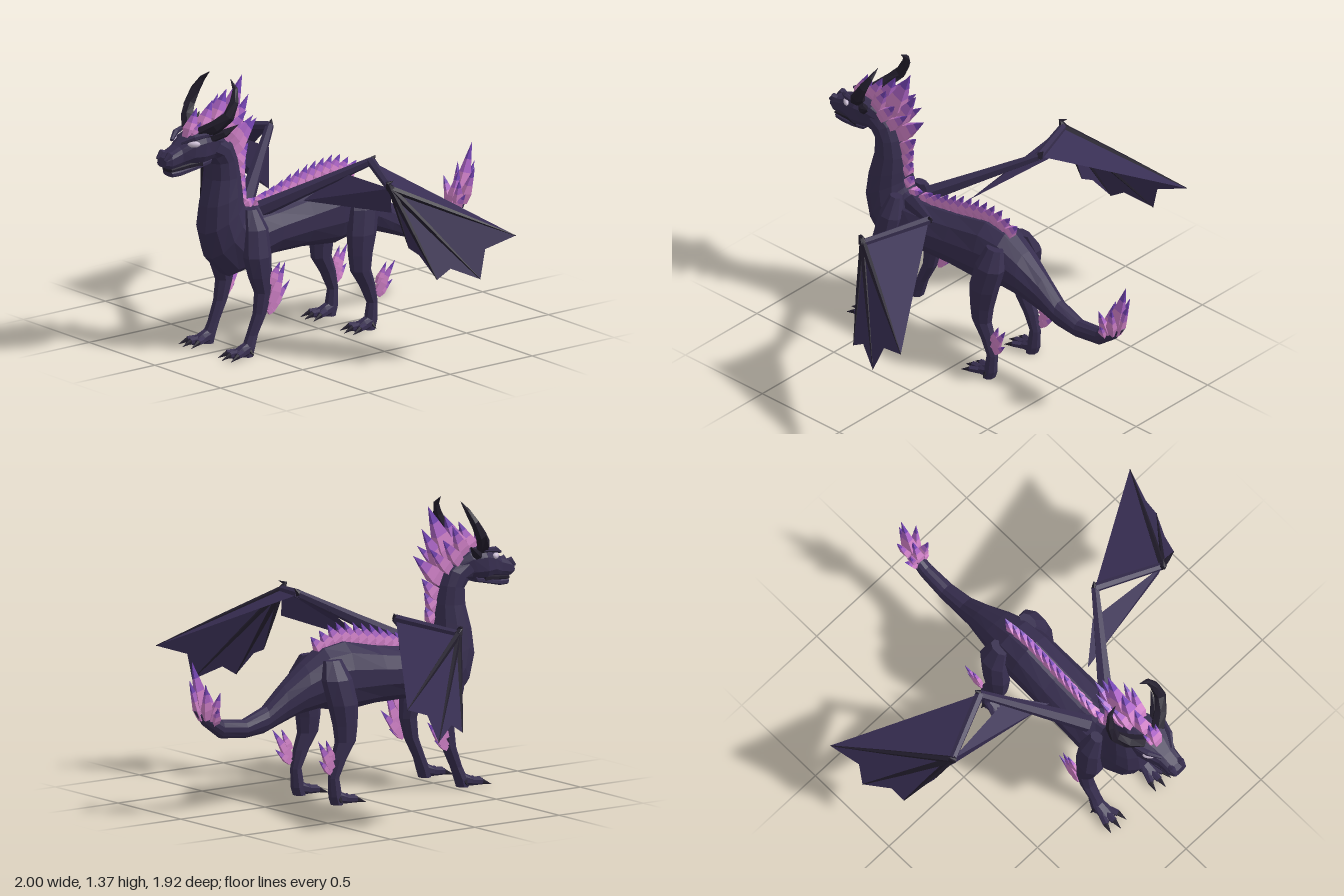
import * as THREE from 'three';
import { mergeGeometries } from 'three/addons/utils/BufferGeometryUtils.js';

const V = (x, y, z) => new THREE.Vector3(x, y, z);
const mat = (name, color, side = THREE.FrontSide) => {
  const m = new THREE.MeshStandardMaterial({ color, side });
  m.name = name;
  return m;
};

// Faceted geometry from a list of triangle corners
function facets(pts) {
  const g = new THREE.BufferGeometry().setFromPoints(pts);
  g.computeVertexNormals();
  return g;
}

// Closed skin over cross-section rings, turned to face outward
function loft(rings) {
  const tris = [], n = rings[0].length;
  for (let i = 0; i < rings.length - 1; i++)
    for (let j = 0; j < n; j++) {
      const k = (j + 1) % n, a = rings[i], b = rings[i + 1];
      tris.push([a[j], a[k], b[k]], [a[j], b[k], b[j]]);
    }
  const cap = (r, flip) => {
    const c = V(0, 0, 0);
    r.forEach(p => c.addScaledVector(p, 1 / n));
    r.forEach((p, j) => tris.push(flip ? [c, r[(j + 1) % n], p] : [c, p, r[(j + 1) % n]]));
  };
  cap(rings[0], true);
  cap(rings.at(-1), false);
  let vol = 0;
  for (const [a, b, c] of tris) vol += a.dot(b.clone().cross(c));
  return facets(tris.flatMap(t => (vol < 0 ? [t[0], t[2], t[1]] : t)));
}

// Ring around c with half axes u and v; power below 1 makes it boxier
function ring(c, u, v, n = 12, power = 1) {
  const sp = t => Math.sign(t) * Math.abs(t) ** power;
  return Array.from({ length: n }, (_, i) => {
    const a = (i + 0.5) / n * Math.PI * 2;
    return c.clone().addScaledVector(u, sp(Math.cos(a))).addScaledVector(v, sp(Math.sin(a)));
  });
}

// Rings given by top point, bottom point and half width: [zTop, yTop, zBottom, yBottom, w]
const profile = (rows, power) => loft(rows.map(([zt, yt, zb, yb, w]) =>
  ring(V(0, (yt + yb) / 2, (zt + zb) / 2), V(w, 0, 0), V(0, (yt - yb) / 2, (zt - zb) / 2), 12, power)));

// Tapered tube along a path
function taper(path, radii, n = 6) {
  const dir = path.at(-1).clone().sub(path[0]).normalize();
  const ref = Math.abs(dir.y) > 0.7 ? V(0, 0, 1) : V(0, 1, 0);
  return loft(path.map((p, i) => {
    const t = path[Math.min(i + 1, path.length - 1)].clone().sub(path[Math.max(i - 1, 0)]).normalize();
    const u = ref.clone().cross(t).normalize(), v = t.clone().cross(u);
    return ring(p, u.multiplyScalar(radii[i]), v.multiplyScalar(radii[i]), n);
  }));
}

// Crystal spike in three colour bands; returns one geometry per band
function spike(base, tip, width, thick = width * 0.6) {
  const d = tip.clone().sub(base), t = d.clone().normalize();
  const u = V(1, 0, 0).addScaledVector(t, -t.x).normalize(), v = t.clone().cross(u);
  const at = (f, s) => ring(base.clone().addScaledVector(d, f), u.clone().multiplyScalar(thick * s),
    v.clone().multiplyScalar(width * s), 4);
  const r = [at(0, 0.9), at(0.28, 1.2), at(0.5, 0.85), at(0.72, 0.5), at(1, 0.01)];
  return [loft(r.slice(0, 3)), loft(r.slice(2, 4)), loft(r.slice(3))];
}

const TORSO = [
  [-0.91, 0.52, -0.92, 0.51, 0.01], [-0.84, 0.50, -0.87, 0.44, 0.03], [-0.76, 0.455, -0.77, 0.365, 0.036],
  [-0.63, 0.44, -0.63, 0.35, 0.042], [-0.5, 0.49, -0.52, 0.36, 0.05], [-0.4, 0.58, -0.42, 0.395, 0.065],
  [-0.28, 0.67, -0.32, 0.43, 0.095], [-0.17, 0.74, -0.2, 0.445, 0.12], [-0.05, 0.76, -0.07, 0.415, 0.13],
  [0.13, 0.72, 0.13, 0.435, 0.135], [0.32, 0.69, 0.33, 0.435, 0.14], [0.42, 0.69, 0.47, 0.385, 0.14],
  [0.47, 0.70, 0.575, 0.365, 0.13], [0.48, 0.72, 0.68, 0.47, 0.12], [0.485, 0.75, 0.72, 0.60, 0.11],
  [0.49, 0.80, 0.705, 0.73, 0.1], [0.50, 0.87, 0.67, 0.86, 0.085], [0.52, 0.96, 0.665, 0.94, 0.08],
  [0.55, 1.04, 0.69, 0.965, 0.08], [0.62, 1.10, 0.73, 0.97, 0.08]];

export function createModel() {
  const model = new THREE.Group();
  model.name = 'dragon';
  const hide = mat('hide', 0x372e4f), horn = mat('horn', 0x221d2c), eyeMat = mat('eye', 0xcdbfd6);
  const membrane = mat('membrane', 0x382e53, THREE.DoubleSide);
  const bands = [mat('crystalPink', 0xcf80c6), mat('crystalOrchid', 0xae66c8), mat('crystalViolet', 0x7444b4)];
  const add = (name, geo, m, parent = model) => {
    const mesh = new THREE.Mesh(geo, m);
    mesh.name = name;
    parent.add(mesh);
    return mesh;
  };
  const group = name => {
    const g = new THREE.Group();
    g.name = name;
    model.add(g);
    return g;
  };
  const crystals = (name, list) => {
    const g = group(name), parts = list.map(a => spike(...a));
    bands.forEach((m, i) => add(m.name, mergeGeometries(parts.map(p => p[i])), m, g));
  };

  // Body, head and jaw
  add('bodyNeckTail', profile(TORSO), hide);
  add('head', profile([[0.58, 1.07, 0.66, 0.98, 0.06], [0.66, 1.12, 0.73, 0.965, 0.085], [0.75, 1.125, 0.77, 0.965, 0.097],
    [0.81, 1.105, 0.82, 0.975, 0.083], [0.87, 1.065, 0.87, 0.965, 0.055], [0.93, 1.04, 0.93, 0.96, 0.05],
    [0.955, 1.02, 0.96, 0.975, 0.035]], 0.65), hide);
  add('mouth', profile([[0.76, 0.99, 0.76, 0.95, 0.07], [0.83, 0.98, 0.83, 0.95, 0.05], [0.925, 0.965, 0.925, 0.945, 0.038]], 0.6), horn);
  add('jaw', profile([[0.7, 0.99, 0.72, 0.955, 0.07], [0.78, 0.97, 0.79, 0.94, 0.065], [0.87, 0.953, 0.875, 0.92, 0.045],
    [0.925, 0.95, 0.915, 0.92, 0.038]], 0.6), hide);

  for (const s of [1, -1]) {
    const side = s > 0 ? 'left' : 'right';
    const P = (x, y, z) => V(s * x, y, z);

    // Face details
    const eye = add(side + 'Eye', new THREE.SphereGeometry(1, 8, 6), eyeMat);
    eye.position.set(s * 0.071, 1.077, 0.818);
    eye.lookAt(s * 0.75, 1.3, 1.4);
    eye.scale.set(0.031, 0.016, 0.014);
    add(side + 'Brow', taper([P(0.035, 1.085, 0.87), P(0.072, 1.108, 0.815), P(0.1, 1.12, 0.73)], [0.008, 0.015, 0.01]), hide);
    add(side + 'Nostril', taper([P(0.025, 1.03, 0.9), P(0.03, 1.035, 0.935), P(0.028, 1.01, 0.962)], [0.01, 0.018, 0.008]), hide);
    add(side + 'Horn', taper([P(0.05, 1.115, 0.755), P(0.11, 1.155, 0.715), P(0.15, 1.205, 0.67), P(0.148, 1.27, 0.635),
      P(0.125, 1.325, 0.61), P(0.08, 1.365, 0.603)], [0.034, 0.033, 0.029, 0.023, 0.014, 0.001]), horn);
    add(side + 'EarHorn', taper([P(0.07, 1.09, 0.71), P(0.115, 1.115, 0.665), P(0.148, 1.155, 0.61)], [0.024, 0.02, 0.001]), horn);

    // Legs: [y, z, x, rx, rz]
    const legs = {
      FrontLeg: [[0.7, 0.48, 0.085, 0.025, 0.035], [0.61, 0.48, 0.12, 0.05, 0.065], [0.48, 0.49, 0.143, 0.057, 0.075],
        [0.38, 0.475, 0.145, 0.05, 0.062], [0.3, 0.46, 0.148, 0.04, 0.045], [0.2, 0.48, 0.15, 0.035, 0.036],
        [0.1, 0.525, 0.147, 0.03, 0.03], [0.04, 0.55, 0.15, 0.035, 0.034], [0, 0.56, 0.15, 0.035, 0.03]],
      HindLeg: [[0.69, -0.17, 0.095, 0.03, 0.05], [0.6, -0.17, 0.13, 0.055, 0.082], [0.48, -0.145, 0.145, 0.058, 0.08],
        [0.38, -0.135, 0.148, 0.05, 0.065], [0.3, -0.135, 0.15, 0.042, 0.055], [0.22, -0.175, 0.15, 0.034, 0.042],
        [0.13, -0.205, 0.15, 0.028, 0.028], [0.04, -0.195, 0.15, 0.034, 0.034], [0, -0.185, 0.15, 0.035, 0.03]]
    };
    for (const [name, rows] of Object.entries(legs)) {
      const g = group(side + name), z = rows.at(-1)[1];
      add('leg', loft(rows.map(([y, cz, x, rx, rz]) => ring(V(s * x, y, cz), V(rx, 0, 0), V(0, 0, rz), 8))), hide, g);
      add('foot', loft([[-0.02, 0.04, 0.032], [0.04, 0.026, 0.038], [0.085, 0.012, 0.04]].map(([dz, h, w]) =>
        ring(P(0.15, h, z + dz), V(w, 0, 0), V(0, h, 0), 8))), hide, g);
      for (const dx of [-0.04, 0, 0.04]) {
        const reach = dx ? 0 : 0.015;
        add('toe', taper([P(0.15 + dx * 0.5, 0.024, z + 0.04), P(0.15 + dx, 0.022, z + 0.09 + reach)], [0.018, 0.016]), hide, g);
        add('claw', taper([P(0.15 + dx, 0.022, z + 0.085 + reach), P(0.15 + dx * 1.25, 0.004, z + 0.135 + reach)], [0.014, 0.001]), horn, g);
      }
      add('heelClaw', taper([P(0.165, 0.04, z), P(0.2, 0.01, z - 0.005)], [0.016, 0.001]), horn, g);
    }

    // Crystal fins on the legs
    crystals(side + 'FrontLegFin', [
      [P(0.18, 0.25, 0.435), P(0.188, 0.44, 0.355), 0.034, 0.012], [P(0.175, 0.21, 0.445), P(0.186, 0.345, 0.325), 0.028, 0.012],
      [P(0.18, 0.34, 0.44), P(0.186, 0.445, 0.385), 0.028, 0.012], [P(0.175, 0.2, 0.45), P(0.18, 0.25, 0.37), 0.018, 0.01]]);
    crystals(side + 'HindLegFin', [
      [P(0.165, 0.18, -0.225), P(0.182, 0.325, -0.32), 0.026, 0.012], [P(0.16, 0.16, -0.23), P(0.175, 0.23, -0.31), 0.02, 0.012],
      [P(0.168, 0.22, -0.225), P(0.178, 0.325, -0.27), 0.02, 0.012]]);

    // Wing bones and membranes
    const w = group(side + 'Wing');
    const root = P(0.06, 0.68, 0.4), elbow = P(0.385, 0.915, -0.01), wrist = P(0.7, 0.875, 0.125);
    const tips = [P(1, 0.615, -0.4), P(0.98, 0.43, -0.2), P(0.9, 0.445, 0), P(0.76, 0.58, 0.06)];
    add('upperArm', taper([root, root.clone().lerp(elbow, 0.5), elbow], [0.042, 0.03, 0.02]), hide, w);
    add('forearm', taper([elbow, wrist], [0.023, 0.019]), hide, w);
    add('elbowSpur', taper([elbow, P(0.395, 0.945, -0.03)], [0.02, 0.001]), horn, w);
    add('wristClaw', taper([wrist, P(0.7, 0.905, 0.14), P(0.715, 0.915, 0.115)], [0.022, 0.012, 0.001]), horn, w);
    tips.forEach((t, i) => add('finger', taper([wrist, wrist.clone().lerp(t, 0.5), t],
      i < 3 ? [0.017, 0.012, 0.002] : [0.012, 0.008, 0.001], 5), horn, w));
    const sheet = [elbow, wrist, tips[0]];
    for (let i = 0; i < 3; i++) {
      const dip = tips[i].clone().lerp(tips[i + 1], 0.5).lerp(wrist, 0.12);
      sheet.push(wrist, tips[i], dip, wrist, dip, tips[i + 1]);
    }
    const inner = P(0.13, 0.70, 0.2), mid = P(0.28, 0.85, 0.08), drop = P(0.69, 0.75, 0.11);
    sheet.push(inner, mid, wrist, inner, wrist, drop);
    add('wingMembrane', facets(sheet), membrane, w);
  }

  // Crown and neck crest
  const crown = [
    [V(0, 1.09, 0.8), V(0, 1.23, 0.745), 0.032, 0.03], [V(0, 1.1, 0.73), V(0, 1.25, 0.65), 0.035, 0.035],
    [V(0, 1.1, 0.66), V(0, 1.29, 0.565), 0.045, 0.045], [V(0, 1.06, 0.6), V(0, 1.345, 0.468), 0.055, 0.04],
    [V(0, 1.02, 0.57), V(0, 1.24, 0.43), 0.045, 0.03], [V(0, 0.97, 0.55), V(0, 1.115, 0.38), 0.045, 0.03],
    [V(0, 0.9, 0.52), V(0, 1.0, 0.43), 0.036, 0.026], [V(0, 0.84, 0.51), V(0, 0.93, 0.445), 0.032, 0.026],
    [V(0, 0.78, 0.5), V(0, 0.86, 0.45), 0.03, 0.026], [V(0, 0.72, 0.49), V(0, 0.785, 0.445), 0.028, 0.026],
    [V(0, 0.69, 0.46), V(0, 0.72, 0.385), 0.025, 0.026]];
  for (const s of [1, -1]) crown.push(
    [V(s * 0.035, 1.09, 0.66), V(s * 0.07, 1.25, 0.56), 0.036, 0.025],
    [V(s * 0.045, 1.06, 0.62), V(s * 0.075, 1.19, 0.5), 0.036, 0.022],
    [V(s * 0.03, 1.02, 0.58), V(s * 0.05, 1.15, 0.44), 0.034, 0.022],
    [V(s * 0.02, 1.09, 0.79), V(s * 0.04, 1.17, 0.75), 0.022, 0.016]);
  crystals('headAndNeckCrest', crown);

  // Back crest following the spine
  const spine = TORSO.slice(5, 12);
  const backHeight = z => {
    const i = Math.max(1, spine.findIndex(r => r[0] >= z)), a = spine[i - 1], b = spine[i];
    return a[1] + (b[1] - a[1]) * (z - a[0]) / (b[0] - a[0]);
  };
  crystals('backCrest', Array.from({ length: 12 }, (_, i) => {
    const z = 0.39 - i * 0.05, y = backHeight(z), h = 0.035 + 0.075 * Math.sin(Math.PI * Math.min(1, (i + 1) / 13));
    return [V(0, y - 0.02, z), V(0, y + h, z - 0.07), 0.032, 0.024];
  }));

  // Tail flame
  const tail = [
    [V(0, 0.47, -0.85), V(0, 0.755, -0.935), 0.04, 0.025], [V(0, 0.47, -0.87), V(0, 0.66, -0.95), 0.03, 0.022],
    [V(0, 0.46, -0.82), V(0, 0.63, -0.855), 0.035, 0.025]];
  for (const s of [1, -1]) tail.push(
    [V(s * 0.02, 0.46, -0.83), V(s * 0.06, 0.6, -0.81), 0.028, 0.018],
    [V(s * 0.02, 0.47, -0.86), V(s * 0.065, 0.65, -0.9), 0.028, 0.018],
    [V(s * 0.02, 0.44, -0.81), V(s * 0.075, 0.53, -0.835), 0.024, 0.016]);
  crystals('tailFlame', tail);
  return model;
}
